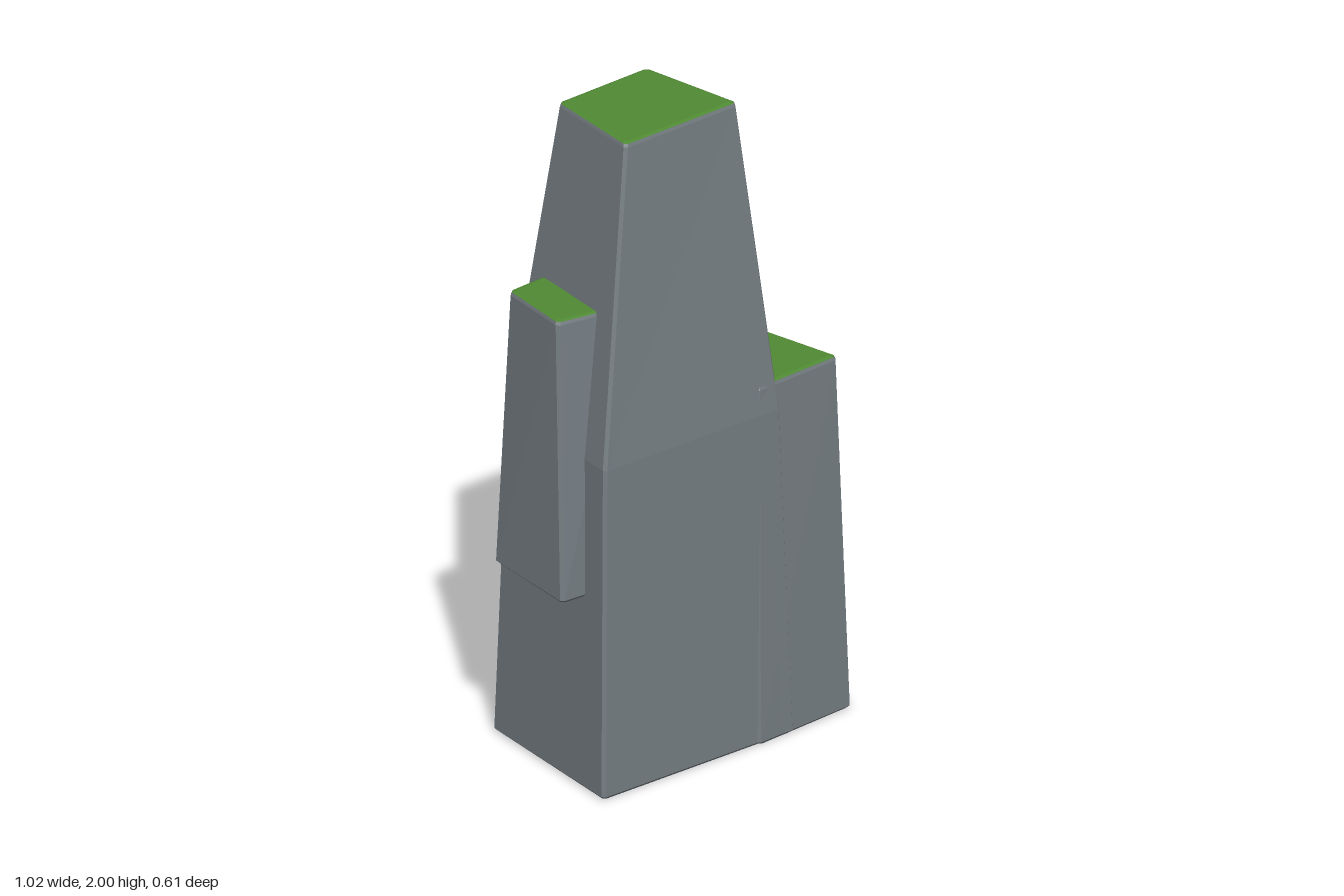
import * as THREE from 'three';

const stone = new THREE.MeshStandardMaterial({ color: 0x757d82 });
stone.name = 'stone grey';
const grass = new THREE.MeshStandardMaterial({ color: 0x4f8a32 });
grass.name = 'grass green';

const BEVEL = 0.01;

// Eight-point outline: four corners (back left, front left, front right, back right)
// pulled inward by inset, each corner cut by a small chamfer.
function outline(corners, y, inset) {
  const cx = corners.reduce((s, c) => s + c[0], 0) / 4;
  const cz = corners.reduce((s, c) => s + c[1], 0) / 4;
  const p = corners.map(([x, z]) => new THREE.Vector3(
    x - Math.sign(x - cx) * inset, y, z - Math.sign(z - cz) * inset));
  const ring = [];
  for (let i = 0; i < 4; i++) {
    for (const j of [(i + 3) % 4, (i + 1) % 4]) {
      const dir = p[j].clone().sub(p[i]).normalize();
      ring.push(p[i].clone().addScaledVector(dir, BEVEL));
    }
  }
  return ring;
}

// Surface through a stack of rings, with an optional flat cap at either end.
function skin(rings, capBottom, capTop) {
  const pos = [];
  const tri = (a, b, c) => { for (const v of [a, b, c]) pos.push(v.x, v.y, v.z); };
  for (let k = 0; k + 1 < rings.length; k++) {
    const a = rings[k], b = rings[k + 1];
    for (let i = 0; i < a.length; i++) {
      const j = (i + 1) % a.length;
      tri(a[i], a[j], b[j]);
      tri(a[i], b[j], b[i]);
    }
  }
  const first = rings[0], last = rings[rings.length - 1];
  for (let i = 1; i + 1 < first.length; i++) {
    if (capBottom) tri(first[0], first[i + 1], first[i]);
    if (capTop) tri(last[0], last[i], last[i + 1]);
  }
  const g = new THREE.BufferGeometry();
  g.setAttribute('position', new THREE.Float32BufferAttribute(pos, 3));
  g.computeVertexNormals();
  return g;
}

// A tapered stone block with softened edges and a grass top.
// levels: [height, corners] from bottom to top.
function rock(name, levels) {
  const [y0, base] = levels[0];
  const [y1, top] = levels[levels.length - 1];
  const lip = outline(top, y1 - 0.004, 0.003);
  const rings = [
    outline(base, y0, BEVEL),
    outline(base, y0 + BEVEL, 0),
    ...levels.slice(1, -1).map(([y, c]) => outline(c, y, 0)),
    outline(top, y1 - 0.014, 0),
    lip,
  ];
  const group = new THREE.Group();
  group.name = name;
  const body = new THREE.Mesh(skin(rings, true, false), stone);
  body.name = name + 'Stone';
  const cap = new THREE.Mesh(skin([lip, outline(top, y1, 0.013)], false, true), grass);
  cap.name = name + 'Grass';
  group.add(body, cap);
  return group;
}

export function createModel() {
  const model = new THREE.Group();
  model.name = 'rockTower';

  // Tall central pillar, bending inward halfway up
  model.add(rock('mainPillar', [
    [0, [[-0.40, -0.28], [-0.455, 0.305], [0.275, 0.276], [0.22, -0.31]]],
    [1.03, [[-0.372, -0.253], [-0.427, 0.276], [0.246, 0.247], [0.195, -0.28]]],
    [2, [[-0.25, -0.165], [-0.28, 0.187], [0.158, 0.157], [0.10, -0.193]]],
  ]));

  // Lower block standing against the pillar's left (+x) side
  model.add(rock('lowSideBlock', [
    [0, [[0.08, -0.21], [0.13, 0.289], [0.51, 0.245], [0.455, -0.25]]],
    [1.12, [[0.06, -0.18], [0.16, 0.246], [0.482, 0.215], [0.393, -0.217]]],
  ]));

  // Slab hanging on the pillar's right (-x) side
  model.add(rock('hangingSlab', [
    [0.6, [[-0.485, -0.165], [-0.515, 0.188], [-0.25, 0.188], [-0.22, -0.2]]],
    [1.47, [[-0.455, -0.135], [-0.483, 0.127], [-0.25, 0.158], [-0.22, -0.162]]],
  ]));

  return model;
}
